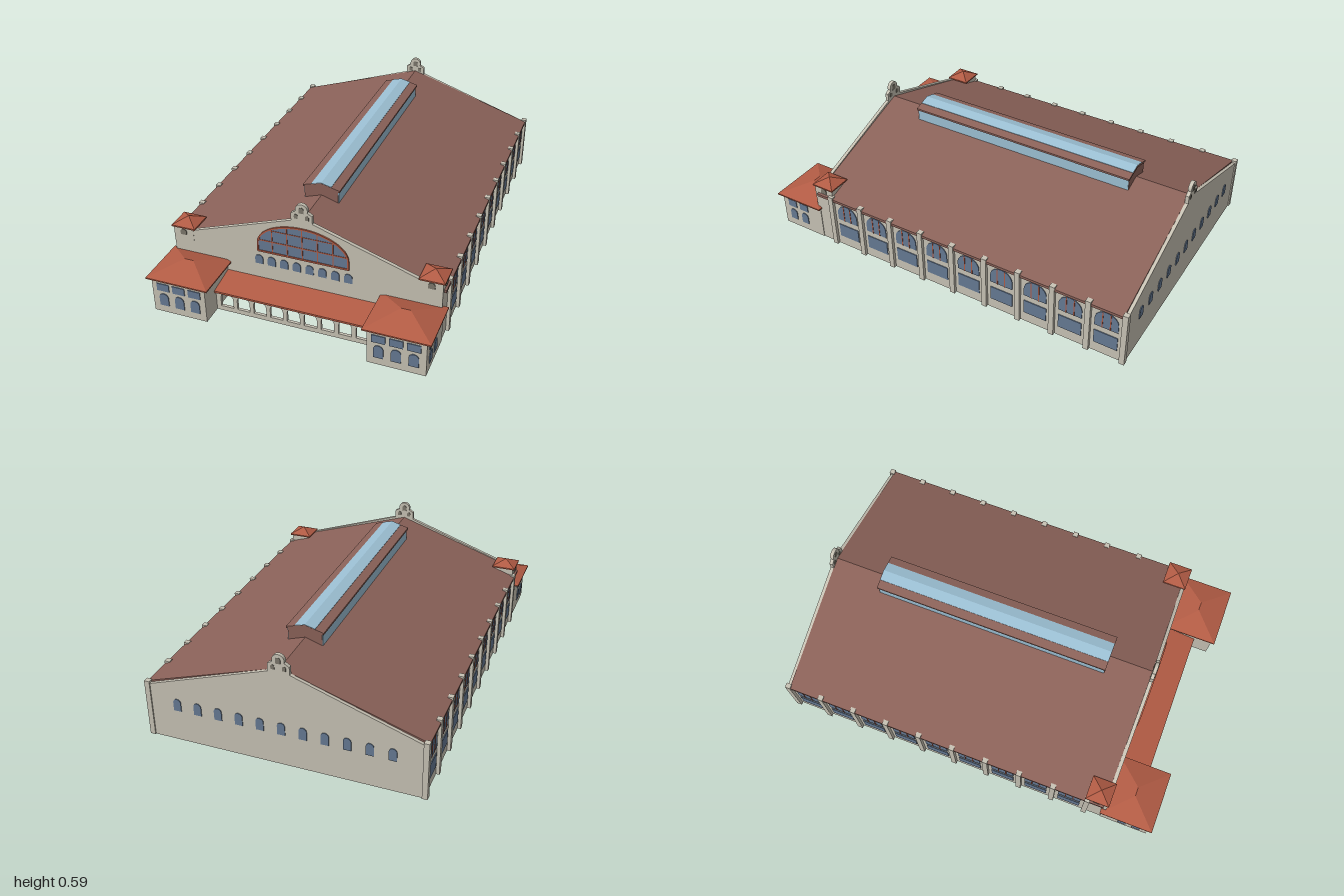
import * as THREE from 'three';

const material = (name, color) => {
  const m = new THREE.MeshStandardMaterial({ color });
  m.name = name;
  return m;
};

export function createModel() {
  const stone = material('stone', 0xc8c3b5);
  const roofBrown = material('roof brown', 0x8b6259);
  const terracotta = material('terracotta', 0xb35c45);
  const glass = material('window glass', 0x667a94);
  const skylight = material('skylight glass', 0x9cc0d4);
  const shade = material('dark stone', 0x7d786c);

  const model = new THREE.Group();
  model.name = 'marketHall';

  const add = (name, geometry, mat, x = 0, y = 0, z = 0, ry = 0) => {
    const mesh = new THREE.Mesh(geometry, mat);
    mesh.name = name;
    mesh.position.set(x, y, z);
    mesh.rotation.y = ry;
    model.add(mesh);
    return mesh;
  };
  // Box given by its minimum and maximum corners
  const box = (name, mat, x0, x1, y0, y1, z0, z1) =>
    add(name, new THREE.BoxGeometry(Math.abs(x1 - x0), y1 - y0, z1 - z0), mat,
      (x0 + x1) / 2, (y0 + y1) / 2, (z0 + z1) / 2);
  const extrude = (shape, depth) =>
    new THREE.ExtrudeGeometry(shape, { depth, bevelEnabled: false, curveSegments: 16 });
  const polygon = pts => new THREE.Shape(pts.map(p => new THREE.Vector2(...p)));
  const rect = (w, y0, y1) => polygon([[-w / 2, y0], [w / 2, y0], [w / 2, y1], [-w / 2, y1]]);
  // Opening with a rounded head
  const trace = (path, w, y0, y1, rise = w / 2, cx = 0) => {
    path.moveTo(cx - w / 2, y0);
    path.lineTo(cx + w / 2, y0);
    path.lineTo(cx + w / 2, y1 - rise);
    path.absellipse(cx, y1 - rise, w / 2, rise, 0, Math.PI, false, 0);
    path.closePath();
    return path;
  };
  const arch = (...a) => trace(new THREE.Shape(), ...a);
  const plate = (name, shape, mat, x, z, ry = 0, t = 0.004) =>
    add(name, extrude(shape, t), mat, x, 0, z, ry);

  // Hipped cap: a box whose top is pulled in to a ridge, on a thin eave slab
  const hipRoof = (name, x, y, z, w, d, h, ridge) => {
    box(name + 'Eave', terracotta, x - w / 2, x + w / 2, y, y + 0.007, z - d / 2, z + d / 2);
    const g = new THREE.BoxGeometry(w, h, d).toNonIndexed();
    const p = g.attributes.position;
    for (let i = 0; i < p.count; i++) {
      if (p.getY(i) > 0) p.setXYZ(i, Math.sign(p.getX(i)) * ridge / 2, h / 2, 0);
    }
    g.computeVertexNormals();
    add(name, g, terracotta, x, y + 0.007 + h / 2, z);
  };

  // Gable wall with a small bell crest
  const gable = (name, w, z, dy) => {
    const s = new THREE.Shape();
    const eave = 0.517 + dy - 0.34 * w;
    s.moveTo(-w, 0);
    s.lineTo(w, 0);
    s.lineTo(w, eave);
    s.lineTo(0.052, 0.5 + dy);
    s.lineTo(0.052, 0.54 + dy);
    s.lineTo(0.03, 0.552 + dy);
    s.absarc(0, 0.563 + dy, 0.03, -0.3, Math.PI + 0.3, false);
    s.lineTo(-0.052, 0.54 + dy);
    s.lineTo(-0.052, 0.5 + dy);
    s.lineTo(-w, eave);
    s.closePath();
    plate(name, s, stone, 0, z, 0, 0.018);
    for (const [face, ry] of [[z + 0.018, 0], [z, Math.PI]]) {
      plate('crestOpening', arch(0.024, 0.547 + dy, 0.577 + dy), shade, 0, face, ry, 0.002);
      for (const s2 of [-1, 1])
        plate('crestSideOpening', arch(0.018, 0.515 + dy, 0.538 + dy), shade, s2 * 0.027, face, ry, 0.002);
    }
  };
  gable('frontGable', 0.665, 0.727, 0);
  gable('backGable', 0.678, -0.99, -0.012);

  // Main roof
  plate('mainRoof', polygon([[-0.677, 0.27], [0, 0.49], [0.677, 0.27], [0.677, 0.284], [0, 0.505], [-0.677, 0.284]]),
    roofBrown, 0, -0.974, 0, 1.702);

  // Roof monitor with glazed sides and a glazed strip along the ridge
  const monitorLength = 1.215, monitorBack = -0.705;
  plate('monitorBody', polygon([[-0.083, 0.465], [0.083, 0.465], [0.083, 0.545], [0, 0.56], [-0.083, 0.545]]),
    roofBrown, 0, monitorBack + 0.003, 0, monitorLength - 0.006);
  plate('monitorRoof', polygon([[-0.092, 0.535], [0, 0.558], [0.092, 0.535], [0.092, 0.545], [0, 0.569], [-0.092, 0.545]]),
    roofBrown, 0, monitorBack, 0, monitorLength);
  plate('ridgeSkylight', polygon([[-0.05, 0.555], [0, 0.568], [0.05, 0.555], [0.05, 0.558], [0, 0.571], [-0.05, 0.558]]),
    skylight, 0, monitorBack + 0.001, 0, monitorLength - 0.002);

  // Long sides, corner turrets and front pavilions, mirrored
  for (const s of [-1, 1]) {
    const turn = s * Math.PI / 2;
    box('monitorGlazing', skylight, s * 0.083, s * 0.086, 0.47, 0.536, monitorBack + 0.005, monitorBack + monitorLength - 0.005);
    box('sideWall', stone, s * 0.65, s * 0.665, 0, 0.276, -0.98, 0.735);

    for (let i = 0; i < 10; i++) {
      const z = 0.642 - i * 0.1805;
      box('sidePier', stone, s * 0.655, s * 0.681, 0, 0.295, z - 0.0135, z + 0.0135);
      if (i === 9) break;
      const bay = z - 0.09;
      plate('sideArchedWindow', arch(0.118, 0.165, 0.26, 0.055), glass, s * 0.665, bay, turn);
      plate('sideLowerWindow', rect(0.118, 0.057, 0.132), glass, s * 0.665, bay, turn);
      for (const k of [-1, 1])
        plate('sideMullion', rect(0.005, 0.165, 0.256), terracotta, s * 0.669, bay + k * 0.02, turn, 0.002);
    }

    // Turret
    box('turret', stone, s * 0.563, s * 0.666, 0.25, 0.331, 0.638, 0.746);
    plate('turretOpening', arch(0.032, 0.293, 0.324), shade, s * 0.614, 0.746);
    plate('turretOpening', arch(0.032, 0.293, 0.324), shade, s * 0.666, 0.69, turn);
    hipRoof('turretRoof', s * 0.614, 0.328, 0.69, 0.122, 0.122, 0.029, 0);

    // Pavilion
    box('pavilion', stone, s * 0.394, s * 0.668, 0, 0.187, 0.73, 0.98);
    hipRoof('pavilionRoof', s * 0.532, 0.184, 0.858, 0.316, 0.274, 0.049, 0.045);
    for (const x of [0.4485, 0.53, 0.611]) {
      plate('pavilionUpperWindow', rect(0.063, 0.124, 0.164), glass, s * x, 0.98);
      plate('pavilionArchedWindow', arch(0.047, 0.04, 0.108), glass, s * x, 0.98);
    }
    for (const z of [0.92, 0.845]) {
      plate('pavilionUpperWindow', rect(0.052, 0.122, 0.163), glass, s * 0.668, z, turn);
      plate('pavilionArchedWindow', arch(0.042, 0.042, 0.104), glass, s * 0.668, z, turn);
    }
  }

  // Great front window with frame and bars
  const front = 0.745;
  plate('greatWindow', arch(0.45, 0.295, 0.465, 0.125), glass, 0, front);
  const frame = arch(0.454, 0.293, 0.467, 0.127);
  frame.holes.push(trace(new THREE.Path(), 0.438, 0.302, 0.459, 0.121));
  plate('greatWindowFrame', frame, terracotta, 0, front, 0, 0.007);
  for (const x of [-0.15, -0.075, 0, 0.075, 0.15]) {
    const top = 0.338 + 0.122 * Math.sqrt(1 - (x / 0.222) ** 2);
    plate('greatWindowMullion', rect(0.005, 0.298, top), terracotta, x, front, 0, 0.006);
  }
  plate('greatWindowTransom', rect(0.44, 0.356, 0.362), terracotta, 0, front, 0, 0.006);
  plate('greatWindowTransom', rect(0.31, 0.419, 0.423), terracotta, 0, front, 0, 0.006);

  // Row of small arched windows, front and back
  for (let i = 0; i < 8; i++)
    plate('frontSmallWindow', arch(0.04, 0.221, 0.27), glass, (i - 3.5) * 0.0635, front);
  for (let i = -5; i <= 5; i++)
    plate('backSmallWindow', arch(0.038, 0.165, 0.228), glass, i * 0.104, -0.99, Math.PI);

  // Entrance arcade: open arches in front of recessed doors
  const arcade = rect(0.79, 0, 0.112);
  for (let i = -4; i <= 4; i++) {
    const x = i * 0.0846;
    arcade.holes.push(trace(new THREE.Path(), 0.064, 0.025, 0.102, 0.032, x));
    plate('doorSurround', arch(0.07, 0, 0.106), shade, x, front, 0, 0.003);
    plate('door', arch(0.056, 0, 0.087, 0.022), terracotta, x, front + 0.003);
  }
  plate('arcadeWall', arcade, stone, 0, 0.862, 0, 0.014);

  // Lean-to roof: a slab with its rear edge raised
  const leanTo = new THREE.BoxGeometry(0.79, 0.01, 0.15).toNonIndexed();
  const p = leanTo.attributes.position;
  for (let i = 0; i < p.count; i++) if (p.getZ(i) < 0) p.setY(i, p.getY(i) + 0.025);
  leanTo.computeVertexNormals();
  add('arcadeRoof', leanTo, terracotta, 0, 0.111, 0.816);

  return model;
}
